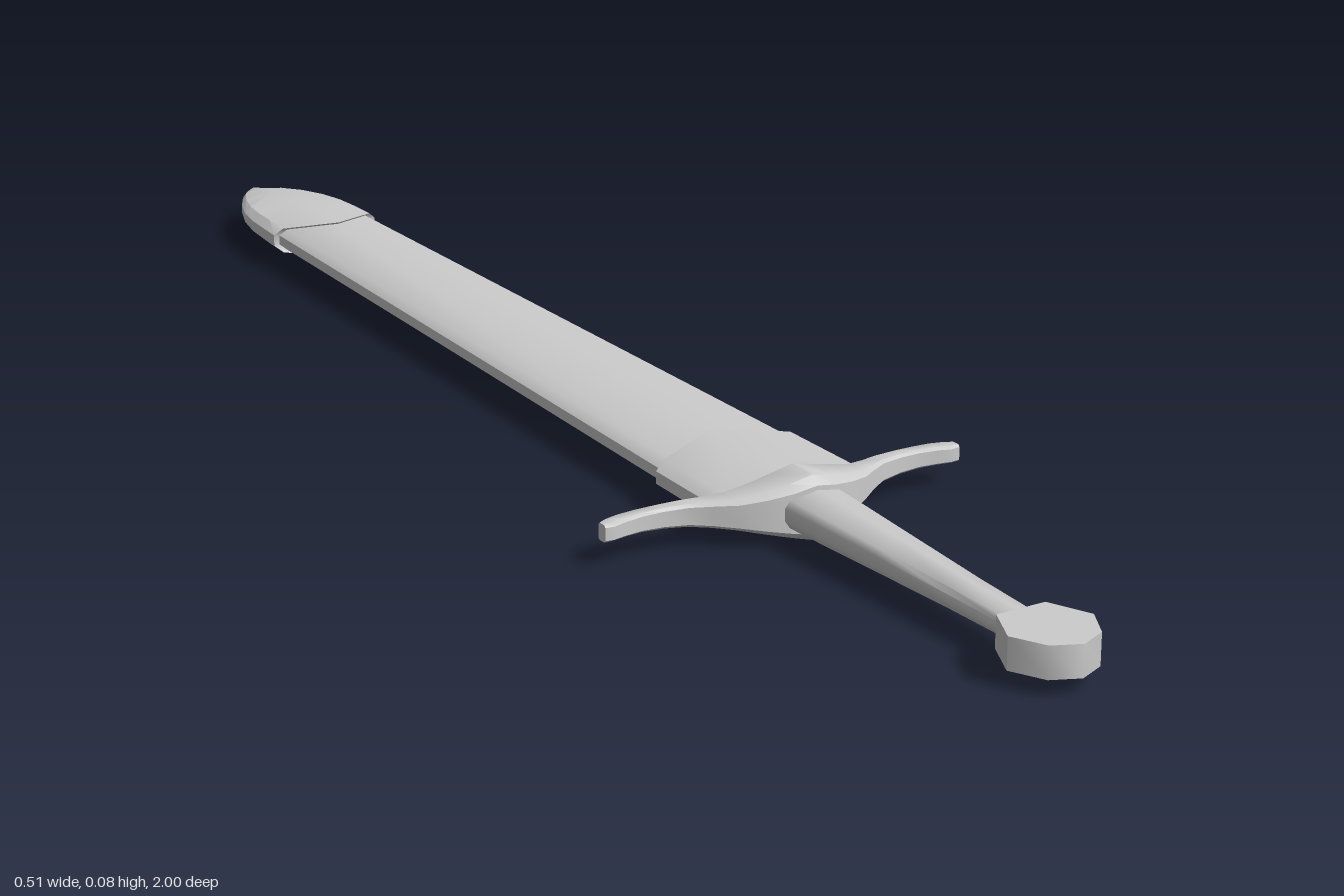
import * as THREE from 'three';
import { toCreasedNormals } from 'three/addons/utils/BufferGeometryUtils.js';

const MID = 0.045; // height of the sword's centre plane

// Skin a list of closed rings (arrays of [x, y, z]) and cap both ends.
function loft(rings, crease = 0.6) {
  const n = rings[0].length;
  const pos = [];
  const tri = (a, b, c) => pos.push(...a, ...b, ...c);
  for (let i = 0; i < rings.length - 1; i++) {
    for (let j = 0; j < n; j++) {
      const k = (j + 1) % n;
      const a = rings[i][j], b = rings[i][k], c = rings[i + 1][k], d = rings[i + 1][j];
      tri(a, b, c);
      tri(a, c, d);
    }
  }
  const centre = (r) => [0, 1, 2].map((q) => r.reduce((s, p) => s + p[q], 0) / n);
  const first = rings[0], last = rings[rings.length - 1];
  for (let j = 0; j < n; j++) {
    const k = (j + 1) % n;
    tri(centre(first), first[k], first[j]);
    tri(centre(last), last[j], last[k]);
  }
  const g = new THREE.BufferGeometry();
  g.setAttribute('position', new THREE.Float32BufferAttribute(pos, 3));
  return toCreasedNormals(g, crease);
}

// Flattened section with a low central ridge, counterclockwise.
const RIDGED = [
  [1, -0.3], [1, 0.3], [0.86, 0.68], [0, 1], [-0.86, 0.68],
  [-1, 0.3], [-1, -0.3], [-0.86, -0.68], [0, -1], [0.86, -0.68],
];

// Ring across z; point shifts the middle of the ring along z into a V.
const ridgedRing = ([z, w, h, point = 0]) =>
  RIDGED.map(([x, y]) => [x * w, MID + y * h, z + point * (1 - Math.abs(x))]);

// Chamfered rectangle ring across x, for the guard.
const CHAMFERED = [
  [1, -0.65], [1, 0.65], [0.75, 1], [-0.75, 1],
  [-1, 0.65], [-1, -0.65], [-0.75, -1], [0.75, -1],
];
const guardRing = ([x, z, hy, hz]) =>
  CHAMFERED.map(([y, s]) => [x, MID + y * hy, z + s * hz]);

export function createModel() {
  const group = new THREE.Group();
  const material = new THREE.MeshStandardMaterial({ color: 0xcccccc });
  const add = (name, geometry) => {
    const mesh = new THREE.Mesh(geometry, material);
    mesh.name = name;
    group.add(mesh);
    return mesh;
  };

  // Scabbard body
  add('scabbard', loft([
    [-0.82, 0.072, 0.0225], [0.42, 0.101, 0.0245],
  ].map(ridgedRing)));

  // Throat collar with a pointed edge
  add('scabbardThroat', loft([
    [0.295, 0.107, 0.027, -0.045], [0.424, 0.109, 0.028],
  ].map(ridgedRing)));

  // Rounded tip cover with a pointed edge
  add('scabbardTip', loft([
    [-1, 0.004, 0.005], [-0.985, 0.018, 0.009], [-0.965, 0.034, 0.014],
    [-0.93, 0.053, 0.019], [-0.89, 0.068, 0.0225], [-0.85, 0.076, 0.025],
    [-0.81, 0.079, 0.026], [-0.772, 0.081, 0.026, 0.045],
  ].map(ridgedRing)));

  // Curved guard: half profile from centre to tip as [x, z, half height, half depth]
  const half = [
    [0, 0.452, 0.042, 0.033], [0.03, 0.449, 0.034, 0.032], [0.06, 0.443, 0.0265, 0.028],
    [0.09, 0.434, 0.0195, 0.022], [0.115, 0.422, 0.0165, 0.016], [0.14, 0.411, 0.0145, 0.012],
    [0.17, 0.405, 0.013, 0.0105], [0.2, 0.403, 0.012, 0.0105], [0.225, 0.405, 0.0115, 0.012],
    [0.243, 0.409, 0.011, 0.0125], [0.255, 0.412, 0.011, 0.008],
  ];
  const mirrored = half.slice(1).reverse().map(([x, ...rest]) => [-x, ...rest]);
  add('guard', loft([...mirrored, ...half].map(guardRing), 0.7));

  // Tapered grip
  add('grip', loft([
    [0.46, 0.042, 0.026], [0.55, 0.037, 0.025], [0.65, 0.032, 0.0225],
    [0.78, 0.026, 0.019], [0.9, 0.022, 0.0175],
  ].map(ridgedRing), 0.9));

  // Flat faceted pommel
  const outline = [[0.034, 0.885], [0.059, 0.94], [0.036, 0.984], [0, 1],
    [-0.036, 0.984], [-0.059, 0.94], [-0.034, 0.885]];
  const shape = new THREE.Shape(outline.map(([x, z]) => new THREE.Vector2(x, z)));
  const pommel = new THREE.ExtrudeGeometry(shape, { depth: 0.041, bevelEnabled: false });
  pommel.rotateX(Math.PI / 2).translate(0, MID + 0.0205, 0);
  add('pommel', toCreasedNormals(pommel, 0.9));

  return group;
}
